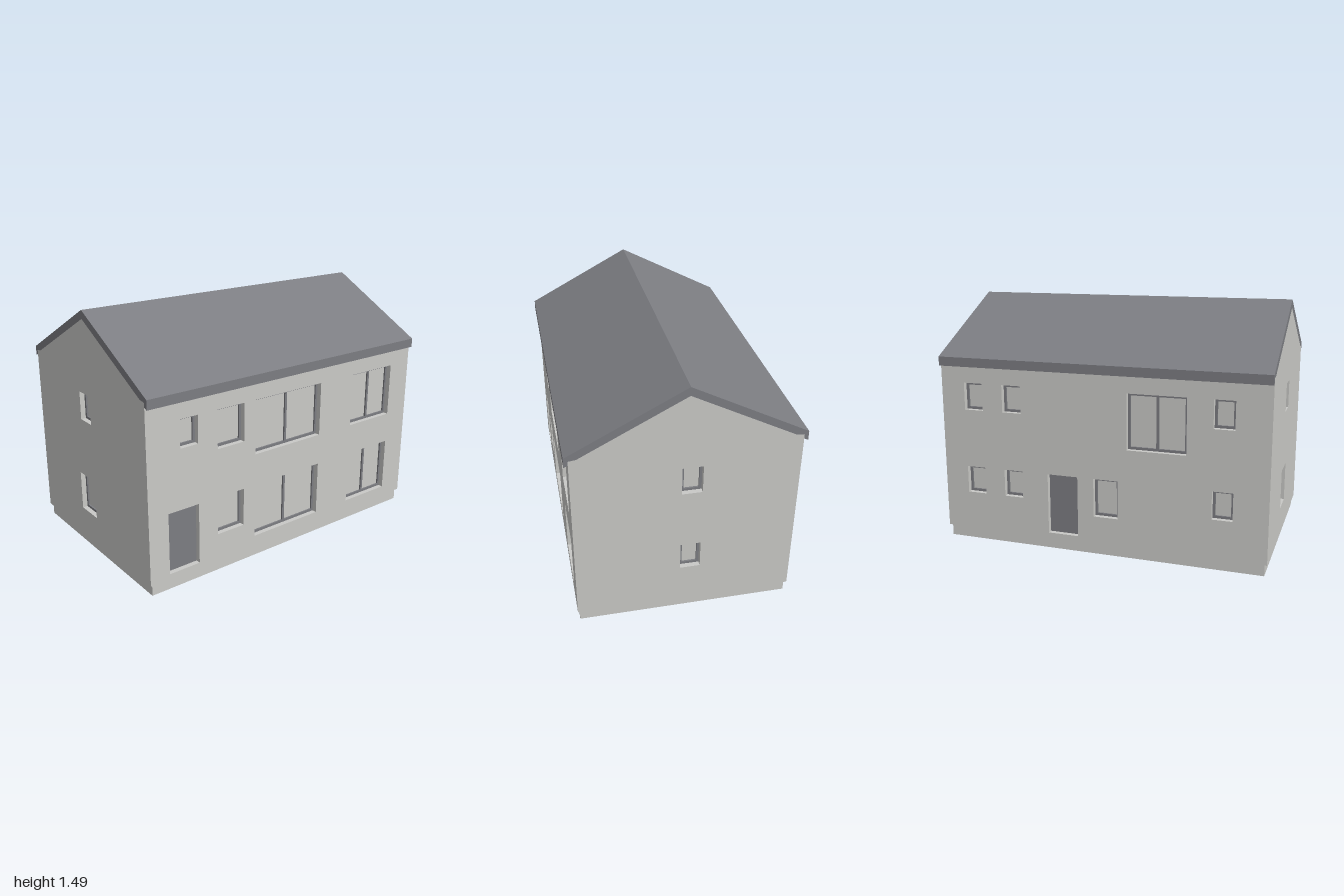
import * as THREE from 'three';

const HX = 1, HZ = 0.627, BASE = 0.07, EAVE = 1.125;
const WALL_T = 0.06, RECESS = 0.03, BAR = 0.015;

const wallMat = new THREE.MeshStandardMaterial({ color: 0xc9c9c6 });
wallMat.name = 'light plaster';
const trimMat = new THREE.MeshStandardMaterial({ color: 0x7c7d82 });
trimMat.name = 'slate grey';

function add(parent, name, geometry, material) {
  const mesh = new THREE.Mesh(geometry, material);
  mesh.name = name;
  parent.add(mesh);
  return mesh;
}

function shapeOf(points) {
  return new THREE.Shape(points.map(([x, y]) => new THREE.Vector2(x, y)));
}

function rectPoints(x0, x1, y0, y1) {
  return [[x0, y0], [x1, y0], [x1, y1], [x0, y1]];
}

// Extrusion whose front face lies at z = front
function slab(shape, front, depth) {
  return new THREE.ExtrudeGeometry(shape, { depth, bevelEnabled: false })
    .translate(0, 0, front - depth);
}

function box(x0, x1, y0, y1, front, depth) {
  return new THREE.BoxGeometry(x1 - x0, y1 - y0, depth)
    .translate((x0 + x1) / 2, (y0 + y1) / 2, front - depth / 2);
}

// Recessed window: frame, pane and optional centre bar
function addWindow(wall, { x0, x1, y0, y1, split }) {
  const win = new THREE.Group();
  win.name = 'window';
  const frame = shapeOf(rectPoints(x0, x1, y0, y1));
  frame.holes.push(shapeOf(rectPoints(x0 + BAR, x1 - BAR, y0 + BAR, y1 - BAR)));
  add(win, 'windowFrame', slab(frame, -RECESS, 0.02), trimMat);
  add(win, 'windowPane', box(x0 + BAR, x1 - BAR, y0 + BAR, y1 - BAR, -RECESS - 0.01, 0.008), wallMat);
  if (split) {
    const c = (x0 + x1) / 2;
    add(win, 'centreBar', box(c - BAR / 2, c + BAR / 2, y0 + BAR, y1 - BAR, -RECESS, 0.02), trimMat);
  }
  wall.add(win);
}

// One wall with its outer face at local z = 0, seen from outside
function makeWall(name, outline, openings) {
  const wall = new THREE.Group();
  wall.name = name;
  const shape = shapeOf(outline);
  for (const o of openings) {
    shape.holes.push(shapeOf(rectPoints(o.x0, o.x1, o.y0, o.y1)));
    if (o.door) add(wall, 'door', box(o.x0, o.x1, o.y0, o.y1, -RECESS, 0.02), trimMat);
    else addWindow(wall, o);
  }
  add(wall, 'wallSurface', slab(shape, 0, WALL_T), wallMat);
  return wall;
}

const opening = (x0, x1, y0, y1, extra = {}) => ({ x0, x1, y0, y1, ...extra });
const split = { split: true }, door = { door: true };
const TOP = 0.99, LOW = 0.468;

export function createModel() {
  const house = new THREE.Group();
  house.name = 'house';

  // Plinth
  add(house, 'plinth', new THREE.BoxGeometry(1.97, BASE, 1.23).translate(0, BASE / 2, 0), wallMat);

  // Long walls
  const longOutline = rectPoints(-HX + WALL_T, HX - WALL_T, BASE, EAVE);
  const front = makeWall('frontWall', longOutline, [
    opening(-0.79, -0.675, 0.825, TOP),
    opening(-0.545, -0.36, 0.76, TOP),
    opening(-0.277, 0.223, 0.66, TOP, split),
    opening(0.49, 0.837, 0.66, TOP, split),
    opening(-0.875, -0.675, 0.1, LOW, door),
    opening(-0.545, -0.36, 0.237, LOW),
    opening(-0.277, 0.223, 0.136, LOW, split),
    opening(0.49, 0.837, 0.136, LOW, split),
  ]);
  front.position.z = HZ;

  const back = makeWall('backWall', longOutline, [
    opening(-0.85, -0.73, 0.825, TOP),
    opening(-0.6, -0.48, 0.825, TOP),
    opening(0.18, 0.53, 0.66, TOP, split),
    opening(0.68, 0.8, 0.825, TOP),
    opening(-0.85, -0.73, 0.303, LOW),
    opening(-0.6, -0.48, 0.303, LOW),
    opening(-0.315, -0.125, 0.1, LOW, door),
    opening(-0.025, 0.125, 0.237, LOW),
    opening(0.68, 0.8, 0.303, LOW),
  ]);
  back.position.z = -HZ;
  back.rotation.y = Math.PI;

  // Gable walls
  const gableOutline = [
    [-HZ, BASE], [HZ, BASE], [HZ, EAVE], [0.585, 1.13],
    [0, 1.435], [-0.585, 1.13], [-HZ, EAVE],
  ];
  const left = makeWall('leftGable', gableOutline, [
    opening(-0.032, 0.083, 0.828, 0.997),
    opening(-0.032, 0.083, 0.303, 0.472),
  ]);
  left.position.x = HX;
  left.rotation.y = Math.PI / 2;

  const right = makeWall('rightGable', gableOutline, [
    opening(-0.085, 0.035, 0.828, 0.997),
    opening(-0.14, 0.035, 0.237, 0.472),
  ]);
  right.position.x = -HX;
  right.rotation.y = -Math.PI / 2;
  house.add(front, back, left, right);

  // Pitched roof with eave boards, one profile mirrored about the ridge
  const half = [
    [0.585, 1.13], [HZ, EAVE], [HZ, 1.1], [0.65, 1.09], [0.65, 1.145],
  ];
  const mirrored = half.map(([z, y]) => [-z, y]).reverse();
  const profile = shapeOf([[0, 1.435], ...half, [0, 1.485], ...mirrored]);
  const roof = add(house, 'roof', slab(profile, HX, 2 * HX), trimMat);
  roof.rotation.y = Math.PI / 2;

  return house;
}
